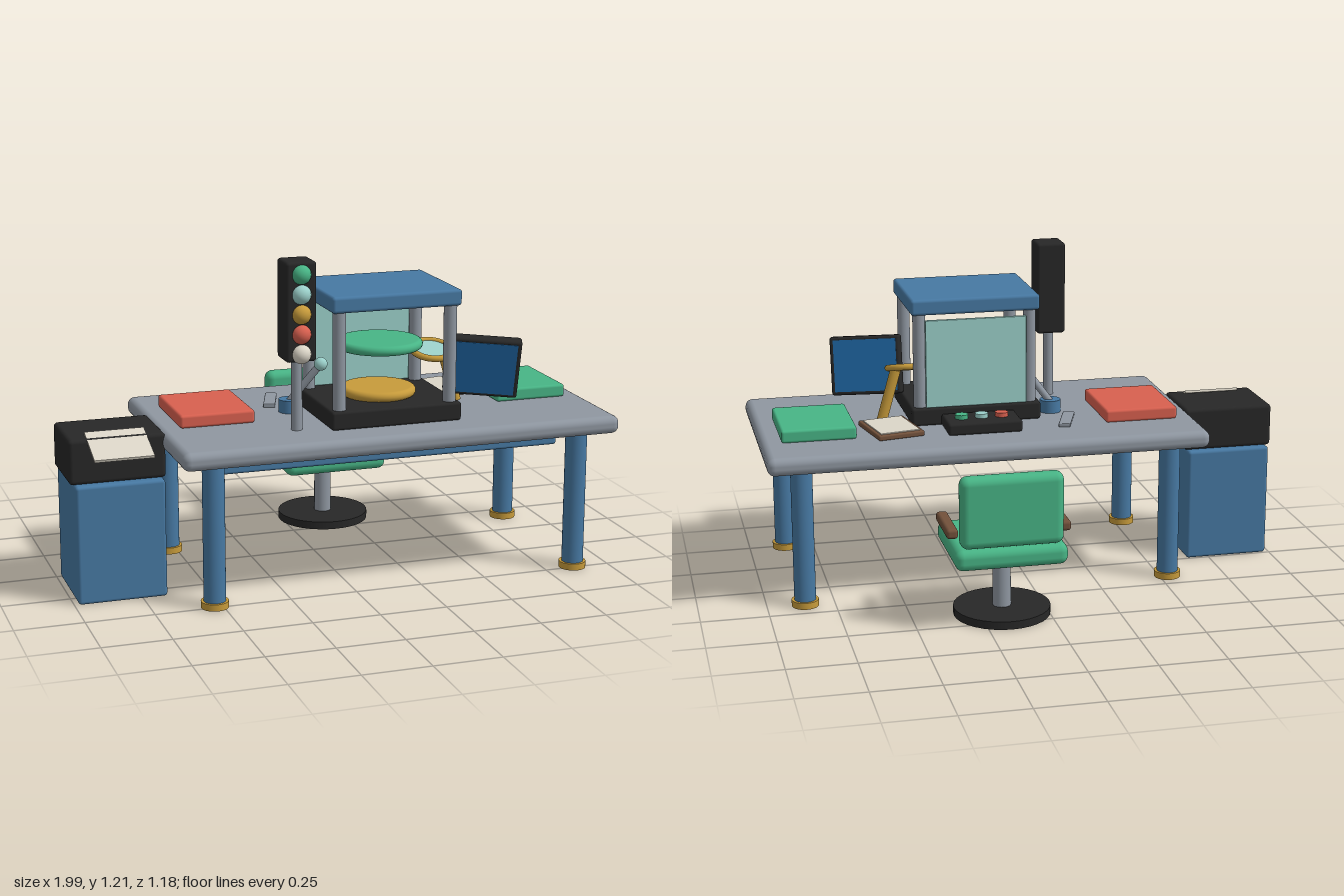
import * as THREE from 'three';
import { RoundedBoxGeometry } from 'three/addons/geometries/RoundedBoxGeometry.js';

const mat = (name, color) => {
  const m = new THREE.MeshStandardMaterial({ color });
  m.name = name;
  return m;
};

export function createModel() {
  const root = new THREE.Group();
  root.name = 'controlDesk';
  const blue = mat('steelBlue', 0x4779a3), grey = mat('metalGrey', 0x8f97a1);
  const black = mat('charcoal', 0x272727), green = mat('green', 0x48b586);
  const red = mat('coralRed', 0xd8604f), gold = mat('gold', 0xc79b3b);
  const aqua = mat('paleAqua', 0x9bd0ca), brown = mat('brown', 0x72513b);
  const cream = mat('cream', 0xdcd6c8), screenBlue = mat('screenBlue', 0x1f66a3);

  const group = (name) => {
    const g = new THREE.Group();
    g.name = name;
    root.add(g);
    return g;
  };
  const add = (parent, name, geometry, material, x, y, z) => {
    const m = new THREE.Mesh(geometry, material);
    m.name = name;
    m.position.set(x, y, z);
    parent.add(m);
    return m;
  };
  // rounded box given by its limits on each axis
  const box = (parent, name, material, [x0, x1], [y0, y1], [z0, z1], r = 0.01) =>
    add(parent, name, new RoundedBoxGeometry(x1 - x0, y1 - y0, z1 - z0, 3, r), material,
      (x0 + x1) / 2, (y0 + y1) / 2, (z0 + z1) / 2);
  // upright cylinder from y0 to y1
  const post = (parent, name, material, r, x, z, y0, y1) =>
    add(parent, name, new THREE.CylinderGeometry(r, r, y1 - y0, 32), material, x, (y0 + y1) / 2, z);
  // cylinder between two points
  const rod = (parent, name, material, r, a, b) => {
    const p = new THREE.Vector3(...a), q = new THREE.Vector3(...b), d = q.clone().sub(p);
    const m = add(parent, name, new THREE.CylinderGeometry(r, r, d.length(), 20), material, 0, 0, 0);
    m.position.copy(p).add(q).multiplyScalar(0.5);
    m.quaternion.setFromUnitVectors(new THREE.Vector3(0, 1, 0), d.normalize());
  };
  // disc with a half-round rim
  const cushion = (parent, name, material, r, h, x, y, z) => {
    const pts = [new THREE.Vector2(0, -h / 2)];
    for (let i = 0; i <= 8; i++) {
      const a = -Math.PI / 2 + (i / 8) * Math.PI;
      pts.push(new THREE.Vector2(r - h / 2 + Math.cos(a) * h / 2, Math.sin(a) * h / 2));
    }
    pts.push(new THREE.Vector2(0, h / 2));
    add(parent, name, new THREE.LatheGeometry(pts, 40), material, x, y, z);
  };

  // desk with four footed legs and a front rail
  const desk = group('desk');
  box(desk, 'deskTop', grey, [-0.66, 0.99], [0.53, 0.597], [-0.27, 0.59], 0.028);
  for (const x of [-0.53, 0.86]) for (const z of [-0.165, 0.49]) {
    post(desk, 'deskLeg', blue, 0.04, x, z, 0.02, 0.535);
    post(desk, 'legFoot', gold, 0.05, x, z, 0, 0.025);
  }
  box(desk, 'frontRail', blue, [-0.5, 0.83], [0.45, 0.535], [0.325, 0.385]);

  // cabinet and printer
  const side = group('printerStand');
  box(side, 'cabinet', blue, [-0.985, -0.66], [0, 0.437], [0, 0.33], 0.012);
  box(side, 'printer', black, [-1, -0.65], [0.435, 0.6], [0.025, 0.3], 0.015);
  const sheet = add(side, 'printedSheet', new THREE.BoxGeometry(0.215, 0.01, 0.175), cream, -0.825, 0.579, 0.328);
  sheet.rotation.x = 0.35;

  // swivel chair
  const chair = group('chair');
  post(chair, 'chairBase', black, 0.178, 0.168, -0.392, 0, 0.03);
  post(chair, 'chairPost', grey, 0.033, 0.168, -0.392, 0.03, 0.24);
  box(chair, 'seat', green, [-0.038, 0.372], [0.232, 0.31], [-0.583, -0.203], 0.03);
  box(chair, 'backrest', green, [-0.02, 0.355], [0.315, 0.58], [-0.592, -0.522], 0.03);
  for (const s of [-1, 1])
    box(chair, 'armrest', brown, [0.167 + s * 0.206 - 0.021, 0.167 + s * 0.206 + 0.021],
      [0.34, 0.377], [-0.525, -0.307], 0.012);

  // display booth with two discs
  const booth = group('booth');
  box(booth, 'boothBase', black, [-0.08, 0.415], [0.597, 0.665], [0.04, 0.457], 0.01);
  box(booth, 'boothRoof', blue, [-0.078, 0.413], [1.02, 1.08], [0.043, 0.452], 0.012);
  for (const x of [-0.043, 0.379]) for (const z of [0.075, 0.421])
    post(booth, 'boothPost', grey, 0.024, x, z, 0.66, 1.025);
  box(booth, 'backPane', aqua, [-0.025, 0.36], [0.665, 1.0], [0.045, 0.06], 0.003);
  cushion(booth, 'lowerDisc', gold, 0.14, 0.036, 0.168, 0.682, 0.245);
  cushion(booth, 'upperDisc', green, 0.16, 0.036, 0.168, 0.859, 0.255);

  // signal light
  const signal = group('signalLight');
  post(signal, 'signalPole', grey, 0.02, -0.192, 0.39, 0.595, 0.87);
  box(signal, 'signalHousing', black, [-0.247, -0.135], [0.855, 1.213], [0.333, 0.447], 0.012);
  [green, aqua, gold, red, cream].forEach((m, i) =>
    add(signal, 'signalLamp', new THREE.SphereGeometry(0.035, 24, 16), m, -0.191, 1.168 - i * 0.071, 0.443));

  // tilted monitor with a panel on both faces
  const monitor = group('monitor');
  monitor.position.set(0.538, 0.767, 0.347);
  monitor.rotation.set(0.2, -0.35, 0);
  box(monitor, 'monitorCase', black, [-0.137, 0.137], [-0.113, 0.113], [-0.026, 0.026], 0.01);
  for (const s of [-1, 1])
    add(monitor, 'monitorScreen', new THREE.BoxGeometry(0.245, 0.2, 0.006), screenBlue, 0, 0, s * 0.025);

  // magnifier: tilted ring and lens on a leaning stem
  const magnifier = group('magnifier');
  rod(magnifier, 'magnifierStem', gold, 0.02, [0.51, 0.597, 0.165], [0.455, 0.79, 0.165]);
  const head = new THREE.Group();
  head.name = 'magnifierHead';
  head.position.set(0.41, 0.797, 0.165);
  head.rotation.x = 0.27;
  magnifier.add(head);
  add(head, 'magnifierRing', new THREE.TorusGeometry(0.074, 0.012, 12, 40).rotateX(Math.PI / 2), gold, 0, 0, 0);
  add(head, 'magnifierLens', new THREE.CylinderGeometry(0.07, 0.07, 0.008, 32), aqua, 0, 0, 0);

  // microphone on a leaning arm
  const mic = group('microphone');
  post(mic, 'microphoneBase', blue, 0.04, -0.14, 0.14, 0.597, 0.645);
  rod(mic, 'microphoneArm', grey, 0.014, [-0.14, 0.635, 0.14], [-0.035, 0.78, 0.19]);
  add(mic, 'microphoneHead', new THREE.SphereGeometry(0.025, 20, 14), aqua, -0.035, 0.78, 0.19);

  // button panel
  const panel = group('buttonPanel');
  box(panel, 'panelBox', black, [0.025, 0.305], [0.597, 0.642], [-0.115, 0.04], 0.01);
  [red, aqua, green].forEach((m, i) =>
    post(panel, 'panelButton', m, 0.024, 0.09 + i * 0.076, -0.038, 0.635, 0.658));

  // books, clipboard and ruler on the desk
  const items = group('deskItems');
  box(items, 'redBook', red, [-0.585, -0.307], [0.597, 0.645], [-0.073, 0.258], 0.01);
  box(items, 'greenBook', green, [0.64, 0.918], [0.597, 0.645], [-0.073, 0.258], 0.01);
  const clip = group('clipboard');
  clip.position.set(0.5, 0.597, 0.008);
  clip.rotation.y = 0.2;
  box(clip, 'clipboardBoard', brown, [-0.09, 0.09], [0, 0.02], [-0.115, 0.115], 0.006);
  box(clip, 'clipboardPaper', cream, [-0.077, 0.077], [0.015, 0.024], [-0.1, 0.1], 0.002);
  const ruler = box(items, 'ruler', grey, [-0.19, -0.146], [0.597, 0.612], [-0.098, 0.075], 0.004);
  ruler.rotation.y = -0.34;

  return root;
}
